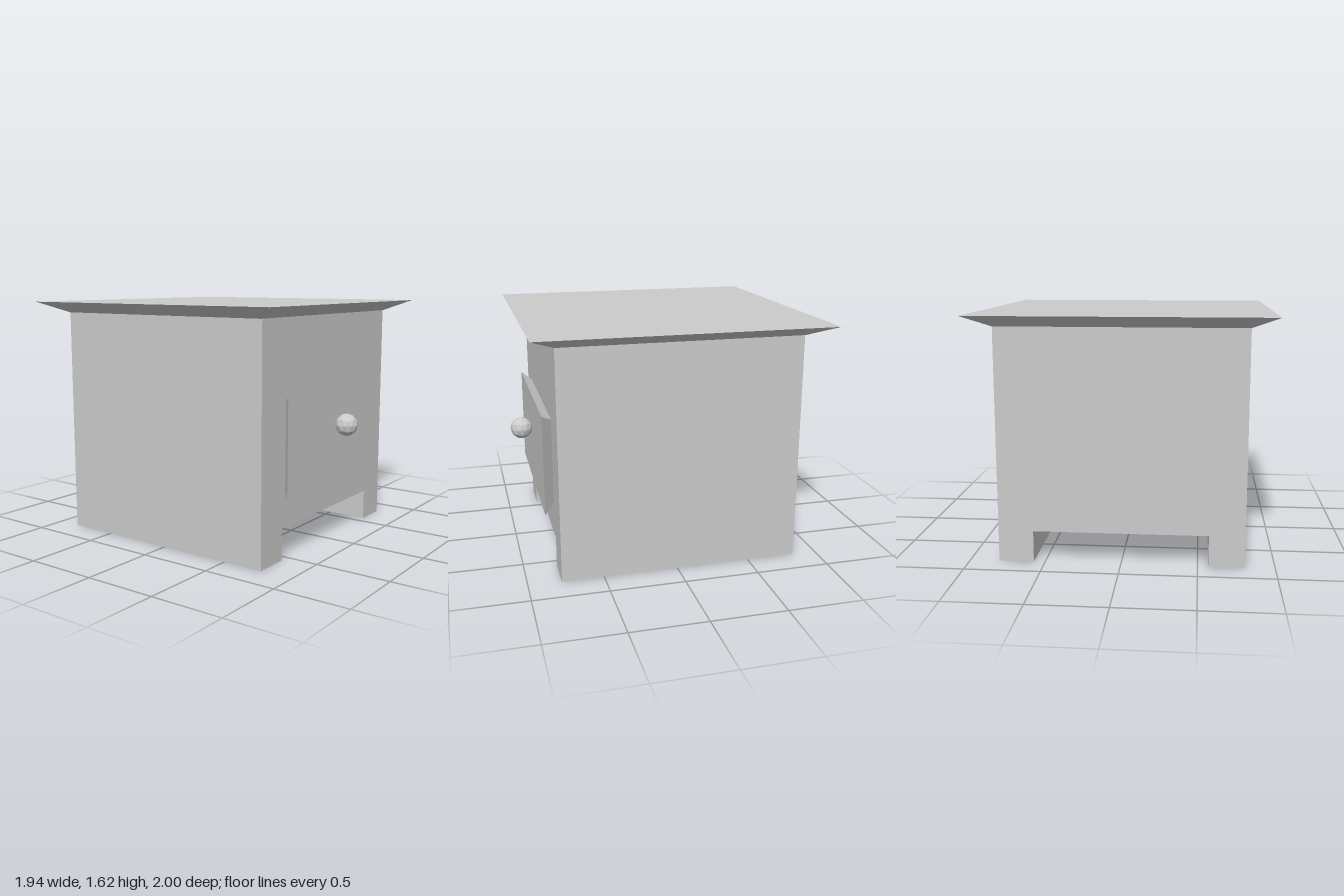
import * as THREE from 'three';

const grey = new THREE.MeshStandardMaterial({ color: 0xcccccc, flatShading: true });

function addPart(group, name, geometry) {
  const mesh = new THREE.Mesh(geometry, grey);
  mesh.name = name;
  group.add(mesh);
  return mesh;
}

// Box along z whose back face is w0 x h0 and whose front face is w1 x h1
function taperedBox(w0, h0, w1, h1, depth) {
  const g = new THREE.BoxGeometry(1, 1, depth);
  const p = g.attributes.position;
  for (let i = 0; i < p.count; i++) {
    const front = p.getZ(i) > 0;
    p.setX(i, p.getX(i) * (front ? w1 : w0));
    p.setY(i, p.getY(i) * (front ? h1 : h0));
  }
  g.computeVertexNormals();
  return g;
}

export function createModel() {
  const model = new THREE.Group();
  model.name = 'nightstand';

  // Body with two runner legs: one outline extruded front to back
  const outline = new THREE.Shape([
    [-0.805, 0], [-0.57, 0], [-0.57, 0.21], [0.575, 0.21],
    [0.575, 0], [0.805, 0], [0.805, 1.55], [-0.805, 1.55],
  ].map(([x, y]) => new THREE.Vector2(x, y)));
  const body = new THREE.ExtrudeGeometry(outline, { depth: 1.615, bevelEnabled: false });
  addPart(model, 'body', body).position.z = -0.835;

  // Flared top, wide face upward
  const top = taperedBox(1.61, 1.615, 1.94, 1.94, 0.075);
  top.rotateX(-Math.PI / 2);
  addPart(model, 'top', top).position.set(0, 1.5825, -0.03);

  // Drawer front, flaring outward
  const drawer = taperedBox(1.07, 0.575, 1.245, 0.67, 0.07);
  addPart(model, 'drawerFront', drawer).position.set(0.002, 0.735, 0.815);

  // Faceted round knob
  const knob = new THREE.IcosahedronGeometry(0.077, 1);
  knob.rotateZ(-0.5536);
  addPart(model, 'knob', knob).position.set(0, 0.813, 0.924);

  return model;
}
